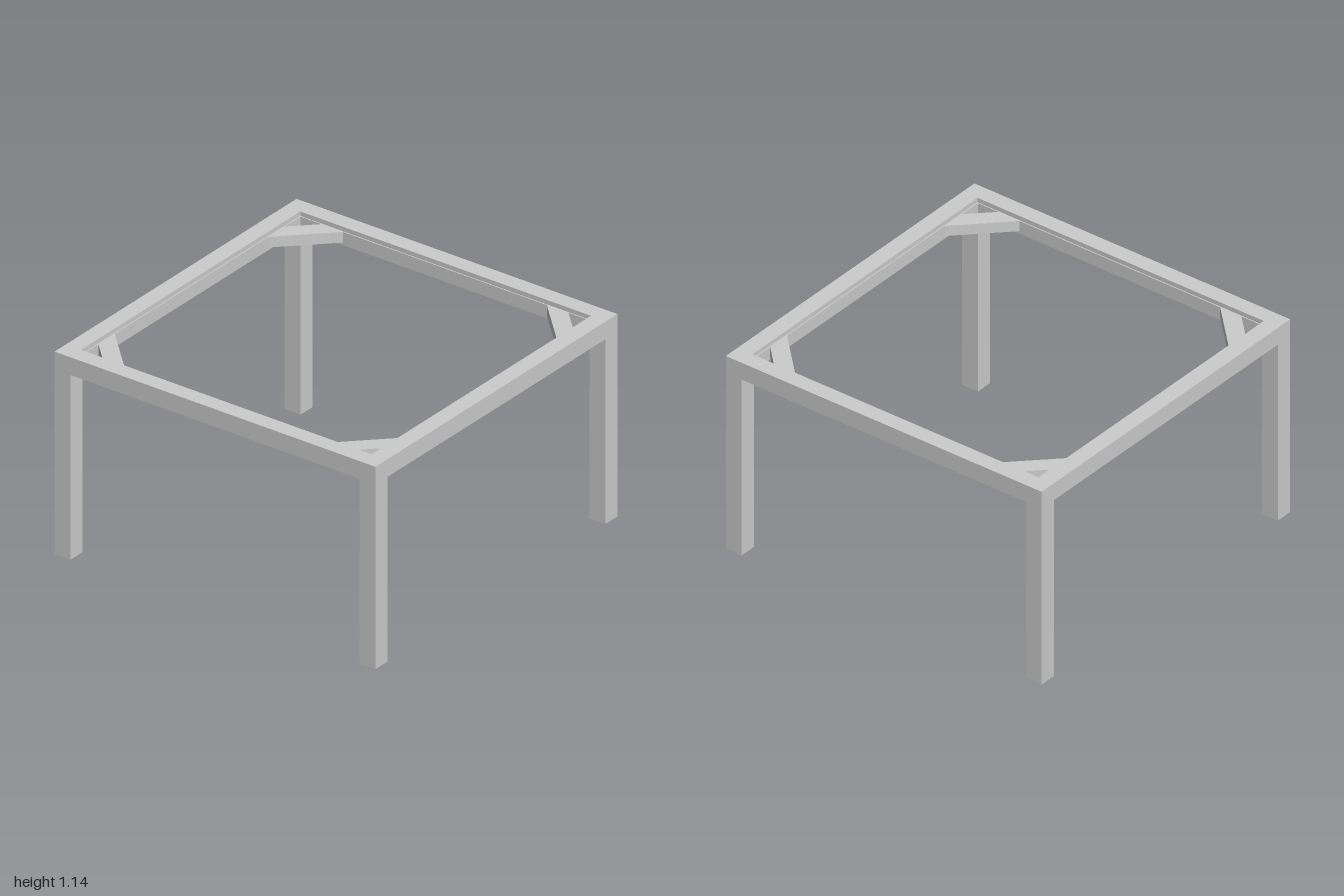
import * as THREE from 'three';

const HEIGHT = 1.145, LEDGE = 1.12, RAIL_BOTTOM = 1.045;
const INNER = 0.9, REBATE = 0.906;

const material = new THREE.MeshStandardMaterial({ color: 0xcccccc, flatShading: true });

const square = (h) => [[-h, -h], [h, -h], [h, h], [-h, h]].map(([x, y]) => new THREE.Vector2(x, y));

// Extrudes a plan outline upwards from y0 to y1
function slab(name, shape, y0, y1) {
  const geometry = new THREE.ExtrudeGeometry(shape, { depth: y1 - y0, bevelEnabled: false });
  geometry.rotateX(-Math.PI / 2).translate(0, y0, 0);
  const mesh = new THREE.Mesh(geometry, material);
  mesh.name = name;
  return mesh;
}

function ring(name, inner, y0, y1) {
  const shape = new THREE.Shape(square(1));
  shape.holes.push(new THREE.Path(square(inner)));
  return slab(name, shape, y0, y1);
}

export function createModel() {
  const table = new THREE.Group();
  table.name = 'tableFrame';

  // Square rail frame with a narrow ledge inside its top edge
  table.add(ring('railFrame', INNER, RAIL_BOTTOM, LEDGE));
  table.add(ring('topRim', REBATE, LEDGE, HEIGHT));

  // One leg and one diagonal brace in each corner
  const legWidth = 1 - INNER;
  const bracePlan = new THREE.Shape([[INNER, 0.635], [INNER, 0.77], [0.77, INNER], [0.635, INNER]]
    .map(([x, y]) => new THREE.Vector2(x, y)));
  for (let i = 0; i < 4; i++) {
    const corner = new THREE.Group();
    corner.name = 'corner' + (i + 1);
    corner.rotation.y = i * Math.PI / 2;

    const leg = new THREE.Mesh(new THREE.BoxGeometry(legWidth, RAIL_BOTTOM, legWidth), material);
    leg.name = 'leg';
    leg.position.set(1 - legWidth / 2, RAIL_BOTTOM / 2, -1 + legWidth / 2);

    corner.add(leg, slab('cornerBrace', bracePlan, 1.06, LEDGE));
    table.add(corner);
  }
  return table;
}
